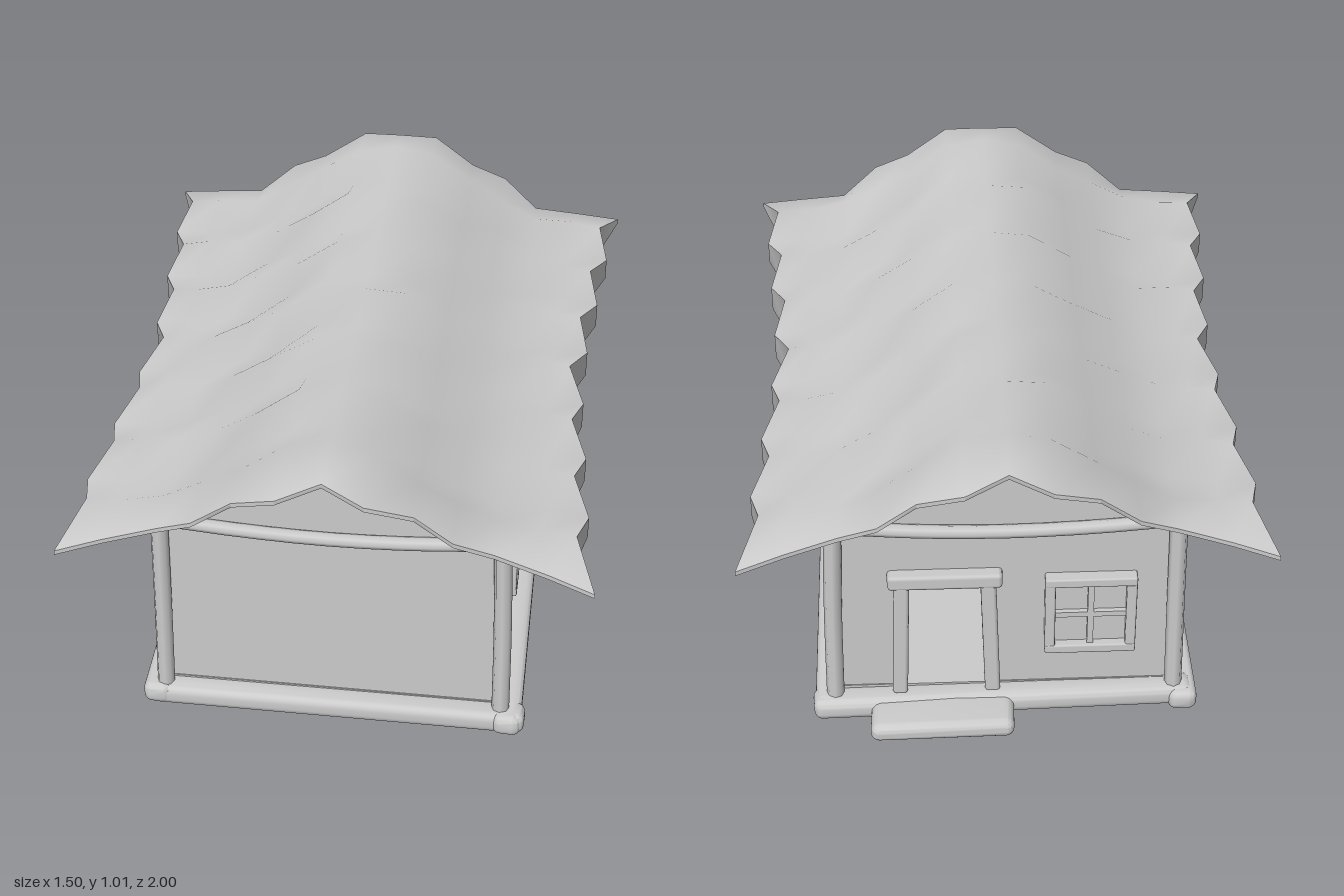
import * as THREE from 'three';
import { toCreasedNormals } from 'three/addons/utils/BufferGeometryUtils.js';
import { RoundedBoxGeometry } from 'three/addons/geometries/RoundedBoxGeometry.js';

const mat = new THREE.MeshStandardMaterial({ color: 0xcccccc, side: THREE.DoubleSide });

function add(parent, name, geo, x = 0, y = 0, z = 0) {
  const m = new THREE.Mesh(geo, mat);
  m.name = name;
  m.position.set(x, y, z);
  parent.add(m);
  return m;
}

// Gently bends a long shape so it looks hand made
function wobble(geo, amount, phase) {
  const p = geo.attributes.position;
  for (let i = 0; i < p.count; i++) {
    const x = p.getX(i), y = p.getY(i), z = p.getZ(i), s = Math.sin((x + z) * 9 + phase) * amount;
    p.setXYZ(i, x + Math.sin(z * 8 + phase) * amount, y + s * 0.5, z + Math.sin(x * 8 + phase) * amount);
  }
  return toCreasedNormals(geo, 0.9);
}

// Rounded log along a curve
function log(parent, name, points, radius) {
  const curve = new THREE.CatmullRomCurve3(points.map(p => new THREE.Vector3(...p)));
  add(parent, name, new THREE.TubeGeometry(curve, 10, radius, 8, false));
  for (const t of [0, 1]) {
    const e = curve.getPoint(t);
    add(parent, name + 'End', new THREE.SphereGeometry(radius, 8, 6), e.x, e.y, e.z);
  }
}

// Wavy thatched roof: closed cross-sections joined along z
function roofGeometry() {
  const xs = [0, 0.12, 0.25, 0.36, 0.47, 0.57, 0.65];
  const top = [0.96, 0.945, 0.86, 0.80, 0.748, 0.738, 0.728];
  const endTop = [0.975, 0.945, 0.88, 0.82, 0.745, 0.715, 0.685];
  const under = [0.858, 0.834, 0.782, 0.715, 0.705, 0.668, 0.622];
  const endZ = [0.95, 1.0, 0.945, 0.97, 0.915, 0.945, 0.975];
  const pos = [], idx = [], C = 13, R = 26;
  const point = (i, k, isTop) => {
    const j = Math.abs(k), sg = Math.sign(k), t = Math.abs(i) / 7, odd = i % 2 !== 0, end = Math.abs(i) === 7;
    const edge = 0.65 + (odd ? 0.02 : -0.02) + 0.07 * t + (end ? 0.01 : 0);
    const x = j === 6 ? edge : j === 5 ? 0.57 + (edge - 0.65) * 0.5 : xs[j];
    const z = end ? Math.sign(i) * endZ[j] : i * 0.135;
    const bump = j > 0 && j < 6 ? 0.008 * Math.sin(i * 2.3 + k * 1.7) : 0;
    let y;
    if (end) y = endTop[j] - (isTop ? 0 : 0.014);
    else if (isTop) y = top[j] + (odd ? -0.02 : 0.02) + 0.04 * t * t * Math.max(0, 1 - x / 0.55) + bump;
    else y = under[j] + 0.03 * t * t * (j > 4 ? 1 : 0);
    pos.push(sg * x, y, z);
  };
  for (let i = -7; i <= 7; i++) {
    for (let k = -6; k <= 6; k++) point(i, k, true);
    for (let k = 6; k >= -6; k--) point(i, k, false);
  }
  for (let s = 0; s < 14; s++) for (let k = 0; k < R; k++) {
    const a = s * R + k, b = s * R + (k + 1) % R, c = b + R, d = a + R;
    idx.push(a, d, b, b, d, c);
  }
  for (let k = 0; k < C - 1; k++) {
    const f = 14 * R;
    idx.push(f + k, f + R - 1 - k, f + R - 2 - k, f + k, f + R - 2 - k, f + k + 1);
    idx.push(k, R - 2 - k, R - 1 - k, k, k + 1, R - 2 - k);
  }
  const g = new THREE.BufferGeometry();
  g.setAttribute('position', new THREE.Float32BufferAttribute(pos, 3));
  g.setIndex(idx);
  return toCreasedNormals(g, 1.0);
}

// Gable wall, optionally with a doorway
function gableGeometry(door) {
  const s = new THREE.Shape([[-0.485, 0.04], [0.485, 0.04], [0.485, 0.71], [0.37, 0.72], [0.25, 0.8], [0, 0.88],
    [-0.25, 0.8], [-0.37, 0.72], [-0.485, 0.71]].map(p => new THREE.Vector2(...p)));
  if (door) s.holes.push(new THREE.Path([[0.06, 0.07], [0.06, 0.48], [0.29, 0.48], [0.29, 0.07]].map(p => new THREE.Vector2(...p))));
  return new THREE.ExtrudeGeometry(s, { depth: 0.03, bevelEnabled: false });
}

// Framed window facing +z
function makeWindow() {
  const g = new THREE.Group();
  g.name = 'window';
  const w = 0.265, h = 0.28, b = 0.03;
  for (const s of [-1, 1]) {
    add(g, 'frameSide', new RoundedBoxGeometry(b, h, 0.06, 1, 0.006), s * (w - b) / 2, 0, 0);
    add(g, 'frameRail', new RoundedBoxGeometry(w, b, 0.064, 1, 0.006), 0, s * (h - b) / 2, 0);
  }
  add(g, 'mullion', new THREE.BoxGeometry(0.018, h - b, 0.03), 0, 0, 0.006);
  add(g, 'crossbar', new THREE.BoxGeometry(w - b, 0.018, 0.03), 0, 0, 0.006);
  add(g, 'pane', new THREE.BoxGeometry(w - b, h - b, 0.012), 0, 0, 0);
  return g;
}

export function createModel() {
  const house = new THREE.Group();
  house.name = 'cottage';

  add(house, 'roof', roofGeometry());

  // Walls and raised floor
  add(house, 'frontWall', gableGeometry(false), 0, 0, 0.762);
  add(house, 'backWall', gableGeometry(true), 0, 0, -0.792);
  for (const s of [-1, 1]) add(house, 'sideWall', new THREE.BoxGeometry(0.03, 0.67, 1.58), s * 0.471, 0.375, 0);
  add(house, 'floor', new THREE.BoxGeometry(0.97, 0.012, 1.59), 0, 0.076, 0);

  // Base trim
  for (const s of [-1, 1]) {
    add(house, 'sideSill', wobble(new RoundedBoxGeometry(0.085, 0.07, 1.72, 3, 0.025), 0.008, s), s * 0.515, 0.042, 0);
    add(house, 'endSill', wobble(new RoundedBoxGeometry(1.12, 0.07, 0.085, 3, 0.025), 0.008, s + 1), 0.008, 0.042, s * 0.815);
  }
  add(house, 'doorStep', wobble(new RoundedBoxGeometry(0.42, 0.062, 0.2, 4, 0.028), 0.01, 2), 0.18, 0.036, -0.865);

  // Corner posts and bowed tie beams
  for (const sz of [-1, 1]) {
    for (const sx of [-1, 1]) {
      const lean = sx > 0 ? 0.006 : 0;
      log(house, 'cornerPost', [[sx * 0.497 + lean, 0.04, sz * 0.812], [sx * 0.492 + lean, 0.38, sz * 0.803], [sx * 0.488, 0.69, sz * 0.8]], 0.026);
    }
    log(house, 'tieBeam', [[-0.49, 0.685, sz * 0.8], [-0.25, 0.673, sz * 0.808], [0, 0.667, sz * 0.81], [0.25, 0.674, sz * 0.808], [0.49, 0.69, sz * 0.8]], 0.02);
  }

  // Windows on both long sides and beside the door
  for (const sx of [-1, 1]) for (const sz of [-1, 1]) {
    const w = makeWindow();
    w.position.set(sx * 0.49, 0.367, sz * 0.355);
    w.rotation.y = sx * Math.PI / 2;
    house.add(w);
  }
  const backWindow = makeWindow();
  backWindow.position.set(-0.245, 0.355, -0.797);
  backWindow.rotation.y = Math.PI;
  house.add(backWindow);

  // Door frame
  for (const s of [-1, 1]) {
    const jamb = add(house, 'doorJamb', new RoundedBoxGeometry(0.045, 0.44, 0.075, 1, 0.01), 0.175 + s * 0.13, 0.29, -0.79);
    jamb.rotation.z = s * 0.03;
  }
  add(house, 'doorLintel', new RoundedBoxGeometry(0.33, 0.05, 0.08, 1, 0.012), 0.175, 0.495, -0.79);

  return house;
}
